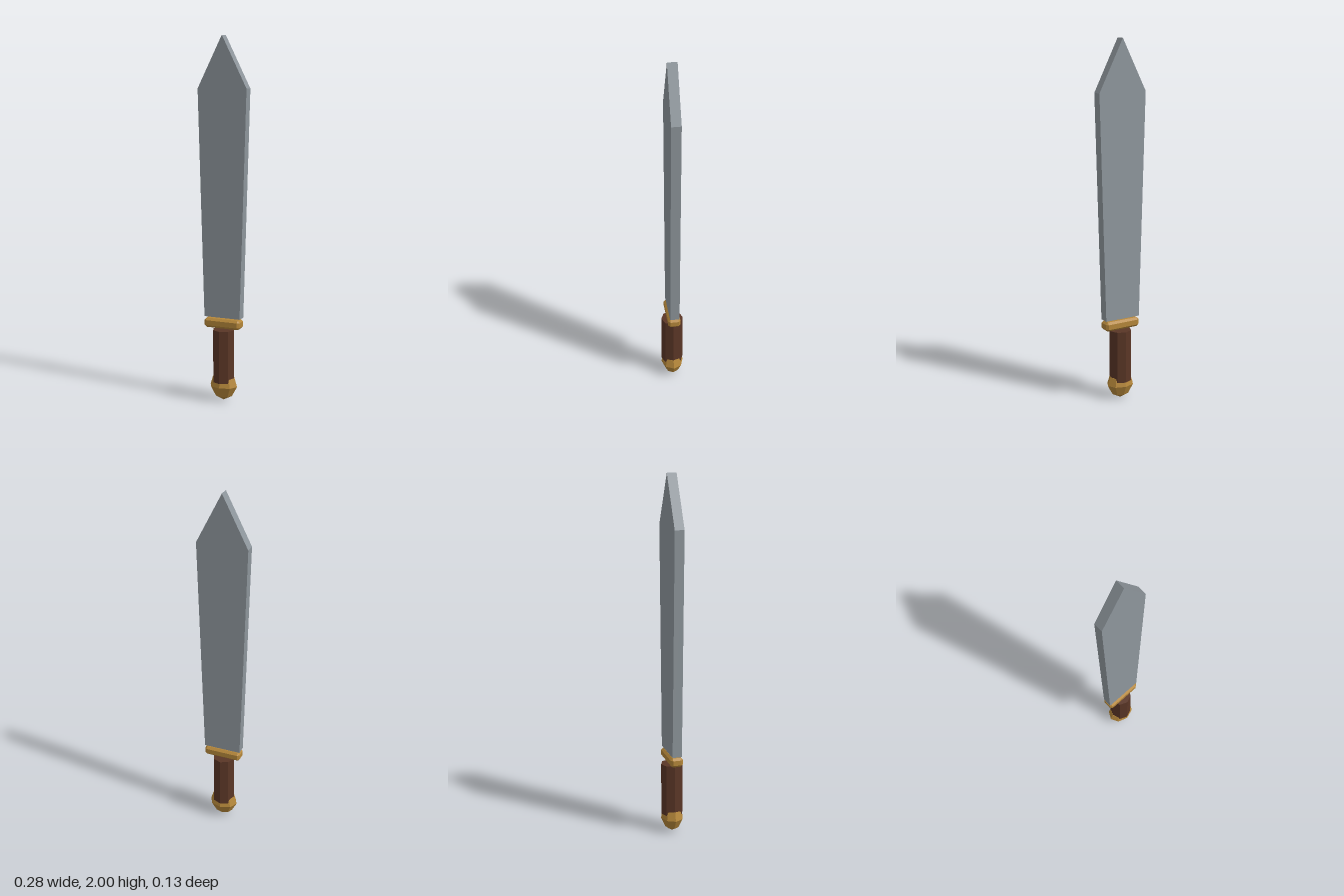
import * as THREE from 'three';
import { ConvexGeometry } from 'three/addons/geometries/ConvexGeometry.js';

const material = (color) => new THREE.MeshStandardMaterial({ color, flatShading: true });

// Box with every edge cut at 45 degrees
function chamferedBox(hx, hy, hz, c) {
  const points = [];
  for (const x of [-1, 1]) for (const y of [-1, 1]) for (const z of [-1, 1]) {
    points.push(
      new THREE.Vector3(x * hx, y * (hy - c), z * (hz - c)),
      new THREE.Vector3(x * (hx - c), y * hy, z * (hz - c)),
      new THREE.Vector3(x * (hx - c), y * (hy - c), z * hz));
  }
  return new ConvexGeometry(points);
}

export function createModel() {
  const group = new THREE.Group();
  const steel = material(0x8f979d);
  const brass = material(0xb5873a);
  const wood = material(0x5a3626);

  function add(name, geometry, mat, y = 0) {
    const mesh = new THREE.Mesh(geometry, mat);
    mesh.name = name;
    mesh.position.y = y;
    group.add(mesh);
    return mesh;
  }

  // Flat slab blade, widening towards the pointed tip
  const outline = new THREE.Shape([
    [-0.105, 0.475], [0.105, 0.475], [0.142, 1.72], [0, 2], [-0.142, 1.72],
  ].map(([x, y]) => new THREE.Vector2(x, y)));
  const blade = new THREE.ExtrudeGeometry(outline, { depth: 0.053, bevelEnabled: false });
  blade.translate(0, 0, -0.0275);
  add('blade', blade, steel);

  // Chamfered guard, floating between blade and grip
  add('guard', chamferedBox(0.105, 0.026, 0.035, 0.012), brass, 0.441);

  // Eight-sided grip
  add('grip', new THREE.CylinderGeometry(0.062, 0.062, 0.295, 8), wood, 0.2575);

  // Faceted pommel, flattened front to back
  const profile = [[0, 0.004], [0.05, 0.03], [0.08, 0.085], [0.065, 0.133], [0, 0.136]]
    .map(([r, y]) => new THREE.Vector2(r, y));
  const pommel = add('pommel', new THREE.LatheGeometry(profile, 8), brass);
  pommel.scale.z = 0.79;

  return group;
}
